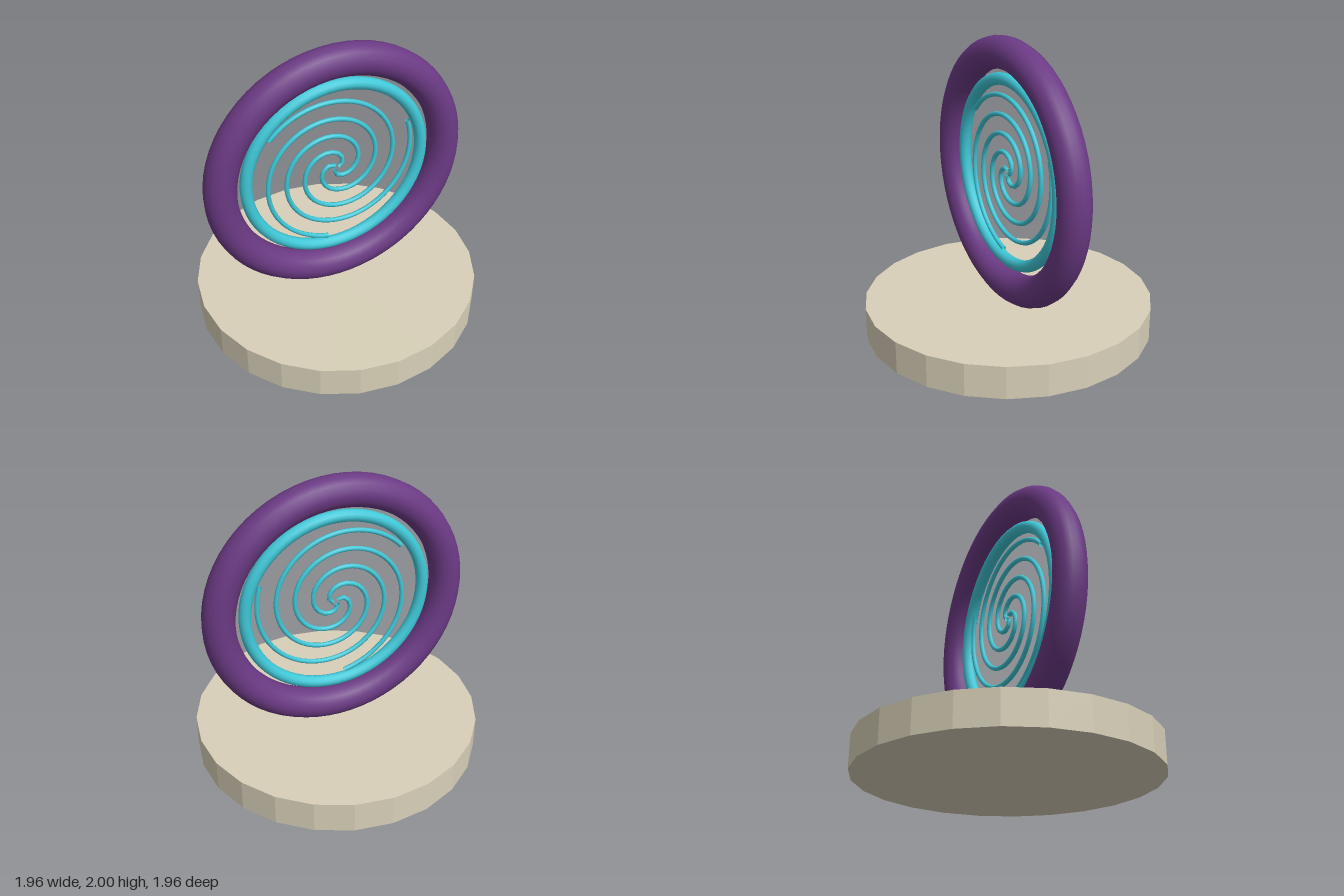
import * as THREE from 'three';

const CENTRE_Y = 1.095;

function material(name, color, flatShading = false) {
  const m = new THREE.MeshStandardMaterial({ color, flatShading });
  m.name = name;
  return m;
}

function addPart(parent, name, geometry, mat, y = 0) {
  const mesh = new THREE.Mesh(geometry, mat);
  mesh.name = name;
  mesh.position.y = y;
  parent.add(mesh);
  return mesh;
}

// Arm growing outward at a steady rate as it winds counterclockwise
class SpiralCurve extends THREE.Curve {
  constructor(startAngle, startRadius, endRadius, turns) {
    super();
    Object.assign(this, { startAngle, startRadius, endRadius, turns });
  }
  getPoint(t, target = new THREE.Vector3()) {
    const a = this.startAngle + t * this.turns * Math.PI * 2;
    const r = THREE.MathUtils.lerp(this.startRadius, this.endRadius, t);
    return target.set(r * Math.cos(a), r * Math.sin(a), 0);
  }
}

export function createModel() {
  const model = new THREE.Group();
  model.name = 'spiralPortal';

  const stone = material('stone', 0xd8d0b8, true);
  const purple = material('purple', 0x6b3a84);
  const cyan = material('cyan', 0x40c8d8);

  // Faceted plinth
  addPart(model, 'base', new THREE.CylinderGeometry(0.98, 0.98, 0.22, 24), stone, 0.11);

  // Upright rings, the outer one sunk slightly into the plinth
  addPart(model, 'outerRing', new THREE.TorusGeometry(0.797, 0.108, 16, 64), purple, CENTRE_Y);
  addPart(model, 'innerRing', new THREE.TorusGeometry(0.625, 0.041, 12, 64), cyan, CENTRE_Y);

  // Three open-ended spiral arms
  const spiral = new THREE.Group();
  spiral.name = 'spiral';
  spiral.position.y = CENTRE_Y;
  model.add(spiral);
  const armMaterial = cyan.clone();
  armMaterial.side = THREE.DoubleSide;
  for (let i = 0; i < 3; i++) {
    const curve = new SpiralCurve((i * Math.PI * 2) / 3, 0.02, 0.565, 1.4);
    addPart(spiral, `spiralArm${i + 1}`, new THREE.TubeGeometry(curve, 60, 0.016, 8, false), armMaterial);
  }

  return model;
}
